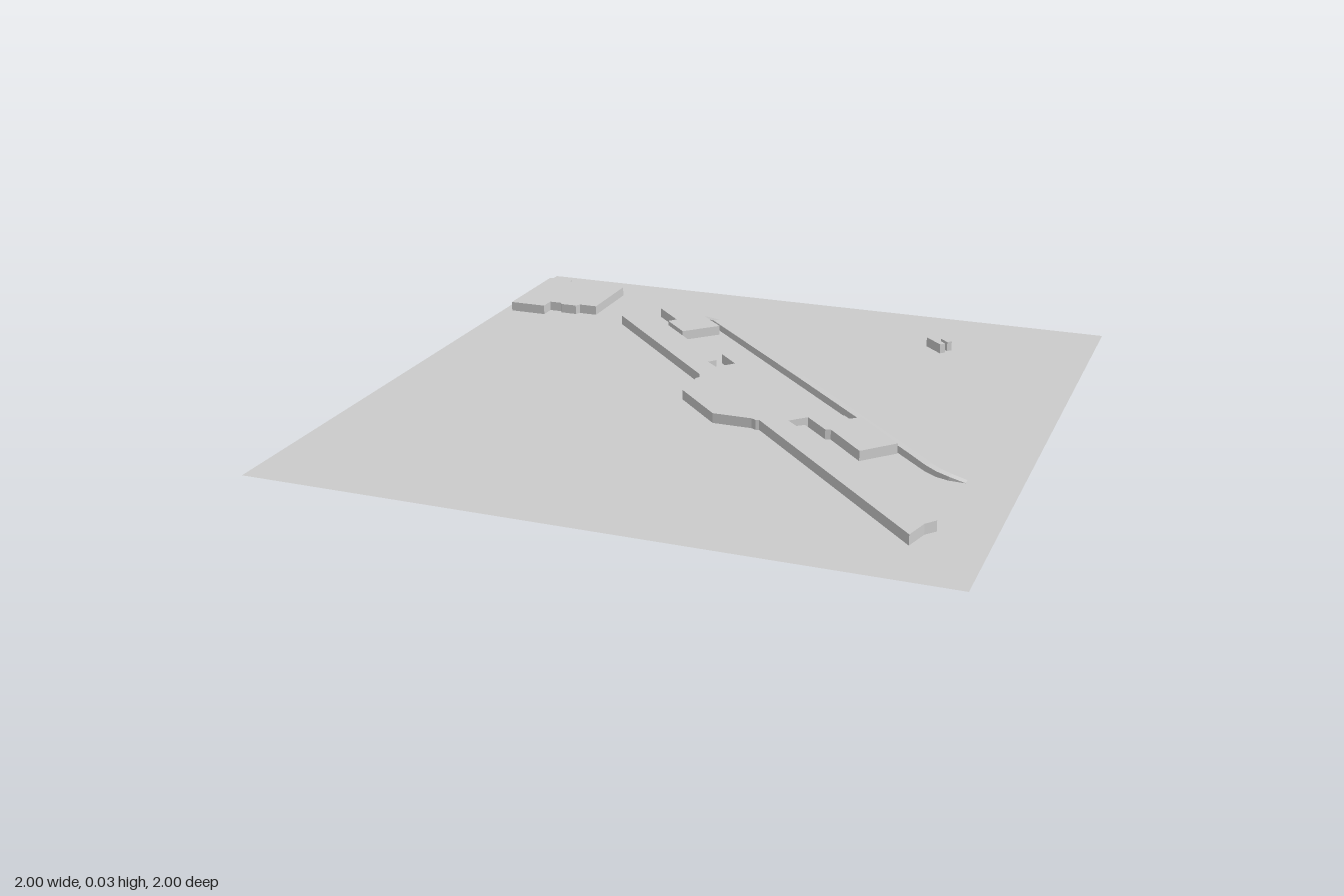
import * as THREE from 'three';

const HEIGHT = 0.031;
const material = new THREE.MeshStandardMaterial({ color: 0xcccccc });
const thinMaterial = new THREE.MeshStandardMaterial({ color: 0xcccccc, side: THREE.DoubleSide });

// Raises a flat-roofed block from a ground plan of [x, z] corners.
function building(name, plan) {
  const shape = new THREE.Shape(plan.map(([x, z]) => new THREE.Vector2(x, -z)));
  const geometry = new THREE.ExtrudeGeometry(shape, { depth: HEIGHT - 0.0005, bevelEnabled: false });
  geometry.rotateX(-Math.PI / 2).translate(0, 0.0005, 0);
  const mesh = new THREE.Mesh(geometry, material);
  mesh.name = name;
  return mesh;
}

// Sweeps a box section along [x, z, height] stations; the ends ramp to the ground.
function road(name, stations, width) {
  const positions = [];
  const index = [];
  stations.forEach(([x, z, h], i) => {
    const a = stations[Math.max(i - 1, 0)];
    const b = stations[Math.min(i + 1, stations.length - 1)];
    const side = new THREE.Vector2(b[1] - a[1], a[0] - b[0]).setLength(width / 2);
    positions.push(x - side.x, 0.0005, z - side.y, x - side.x, h, z - side.y);
    positions.push(x + side.x, h, z + side.y, x + side.x, 0.0005, z + side.y);
    if (i === 0) return;
    const p = (i - 1) * 4;
    for (let k = 0; k < 3; k++) {
      index.push(p + k, p + k + 4, p + k + 1, p + k + 1, p + k + 4, p + k + 5);
    }
  });
  const indexed = new THREE.BufferGeometry();
  indexed.setAttribute('position', new THREE.Float32BufferAttribute(positions, 3));
  indexed.setIndex(index);
  const geometry = indexed.toNonIndexed();
  geometry.computeVertexNormals();
  const mesh = new THREE.Mesh(geometry, thinMaterial);
  mesh.name = name;
  return mesh;
}

export function createModel() {
  const group = new THREE.Group();
  group.name = 'sitePlan';

  // Ground sheet
  const ground = new THREE.Mesh(new THREE.PlaneGeometry(2, 2).rotateX(-Math.PI / 2), thinMaterial);
  ground.name = 'ground';
  group.add(ground);

  // Long diagonal building with a court at each end
  group.add(building('mainBuilding', [
    [-0.55, -0.56], [-0.475, -0.585], [-0.46, -0.57], [-0.435, -0.59],
    [-0.09, -0.245], [-0.11, -0.22], [-0.07, -0.185], [-0.025, -0.235], [-0.095, -0.305],
    [0.02, -0.312], [0.41, 0.08], [0.425, 0.08], [0.445, 0.1], [0.475, 0.075],
    [0.625, 0.235], [0.54, 0.325], [0.42, 0.2], [0.405, 0.205], [0.33, 0.13],
    [0.285, 0.175], [0.32, 0.207], [0.34, 0.19],
    [0.85, 0.7], [0.825, 0.73], [0.805, 0.805],
    [0.205, 0.2], [0.195, 0.203], [0.18, 0.195], [0.06, 0.195],
    [-0.092, 0.045], [-0.092, -0.07], [-0.085, -0.08], [-0.095, -0.105],
  ]));

  // Smaller block beyond the upper court
  group.add(building('annex', [
    [-0.385, -0.745], [-0.2, -0.57], [-0.295, -0.475], [-0.38, -0.56],
    [-0.36, -0.585], [-0.455, -0.68],
  ]));

  // Square block in the far corner
  group.add(building('cornerBuilding', [
    [-0.968, -0.877], [-0.882, -0.877], [-0.882, -0.862], [-0.674, -0.862],
    [-0.674, -0.623], [-0.735, -0.623], [-0.743, -0.607], [-0.797, -0.607],
    [-0.805, -0.618], [-0.845, -0.618], [-0.845, -0.568], [-0.968, -0.568],
  ]));

  // Pair of tiny parallel sheds
  group.add(building('longShed', [[0.493, -0.707], [0.548, -0.652], [0.535, -0.638], [0.477, -0.693]]));
  group.add(building('shortShed', [[0.535, -0.708], [0.563, -0.681], [0.551, -0.669], [0.523, -0.696]]));

  // Raised road with a ramp at both ends
  group.add(road('raisedRoad', [
    [-0.32, -0.73, 0.001], [-0.24, -0.65, 0.022], [0.2, -0.21, 0.024], [0.67, 0.26, 0.022],
    [0.735, 0.325, 0.02], [0.77, 0.35, 0.017], [0.805, 0.362, 0.012], [0.85, 0.364, 0.001],
  ], 0.022));

  return group;
}
